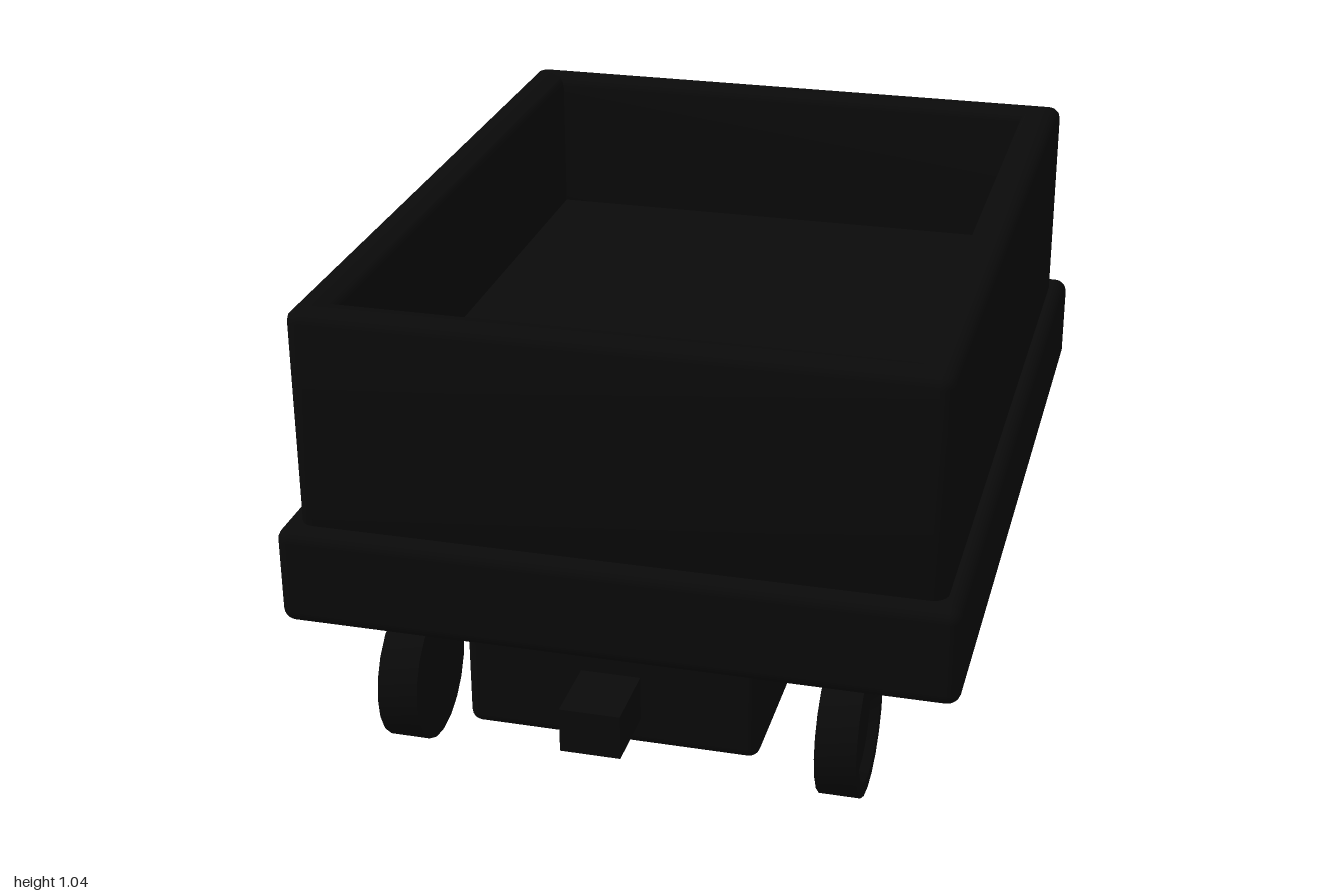
import * as THREE from 'three';
import { RoundedBoxGeometry } from 'three/addons/geometries/RoundedBoxGeometry.js';
import { toCreasedNormals } from 'three/addons/utils/BufferGeometryUtils.js';

// Rectangle outline with rounded corners
function roundedRect(path, halfX, halfY, r) {
  path.moveTo(halfX, -halfY + r);
  path.absarc(halfX - r, halfY - r, r, 0, Math.PI / 2);
  path.absarc(-halfX + r, halfY - r, r, Math.PI / 2, Math.PI);
  path.absarc(-halfX + r, -halfY + r, r, Math.PI, Math.PI * 1.5);
  path.absarc(halfX - r, -halfY + r, r, Math.PI * 1.5, Math.PI * 2);
  return path;
}

export function createModel() {
  const model = new THREE.Group();
  model.name = 'wagon';
  const black = new THREE.MeshStandardMaterial({ color: 0x0a0a0a });
  black.name = 'black';

  const add = (name, geometry, x, y, z) => {
    const mesh = new THREE.Mesh(geometry, black);
    mesh.name = name;
    mesh.position.set(x, y, z);
    model.add(mesh);
    return mesh;
  };
  // Box given by its limits, with softened edges
  const box = (name, w, y0, y1, z0, z1, r) =>
    add(name, new RoundedBoxGeometry(w, y1 - y0, z1 - z0, 3, r), 0, (y0 + y1) / 2, (z0 + z1) / 2);

  // Running board and underframe
  box('runningBoard', 1.48, 0.325, 0.55, -1, 0.85, 0.03);
  box('underframe', 0.64, 0.13, 0.36, -0.98, 0.84, 0.025);

  // Front coupling
  add('coupling', new THREE.BoxGeometry(0.13, 0.1, 0.2), 0, 0.248, 0.9);

  // Open-topped body: a ring of walls with a bevelled rim
  const bevel = 0.025;
  const outline = roundedRect(new THREE.Shape(), 0.7 - bevel, 0.88 - bevel, 0.01);
  outline.holes.push(roundedRect(new THREE.Path(), 0.605 + bevel, 0.79 + bevel, 0.01));
  const walls = new THREE.ExtrudeGeometry(outline, {
    depth: 0.52 - bevel * 2, bevelEnabled: true, bevelSize: bevel,
    bevelThickness: bevel, bevelSegments: 3, curveSegments: 3,
  });
  walls.rotateX(-Math.PI / 2);
  add('walls', toCreasedNormals(walls, 0.6), 0, 0.52 + bevel, -0.07);

  // Raised floor inside the body
  add('floor', new THREE.BoxGeometry(1.26, 0.16, 1.64), 0, 0.62, -0.07);

  // Wheels: raised tread ring around a recessed disc on the outer face
  const profile = [[0, 0], [0.156, 0], [0.156, 0.09], [0.125, 0.09], [0.115, 0.07], [0, 0.07]]
    .map(([r, h]) => new THREE.Vector2(r, h));
  const wheel = toCreasedNormals(new THREE.LatheGeometry(profile, 20), 0.5);
  for (const z of [0.685, -0.07, -0.825]) {
    for (const side of [1, -1]) {
      const mesh = add(side > 0 ? 'leftWheel' : 'rightWheel', wheel, side * 0.44, 0.156, z);
      mesh.rotation.z = -side * Math.PI / 2;
    }
  }
  return model;
}
